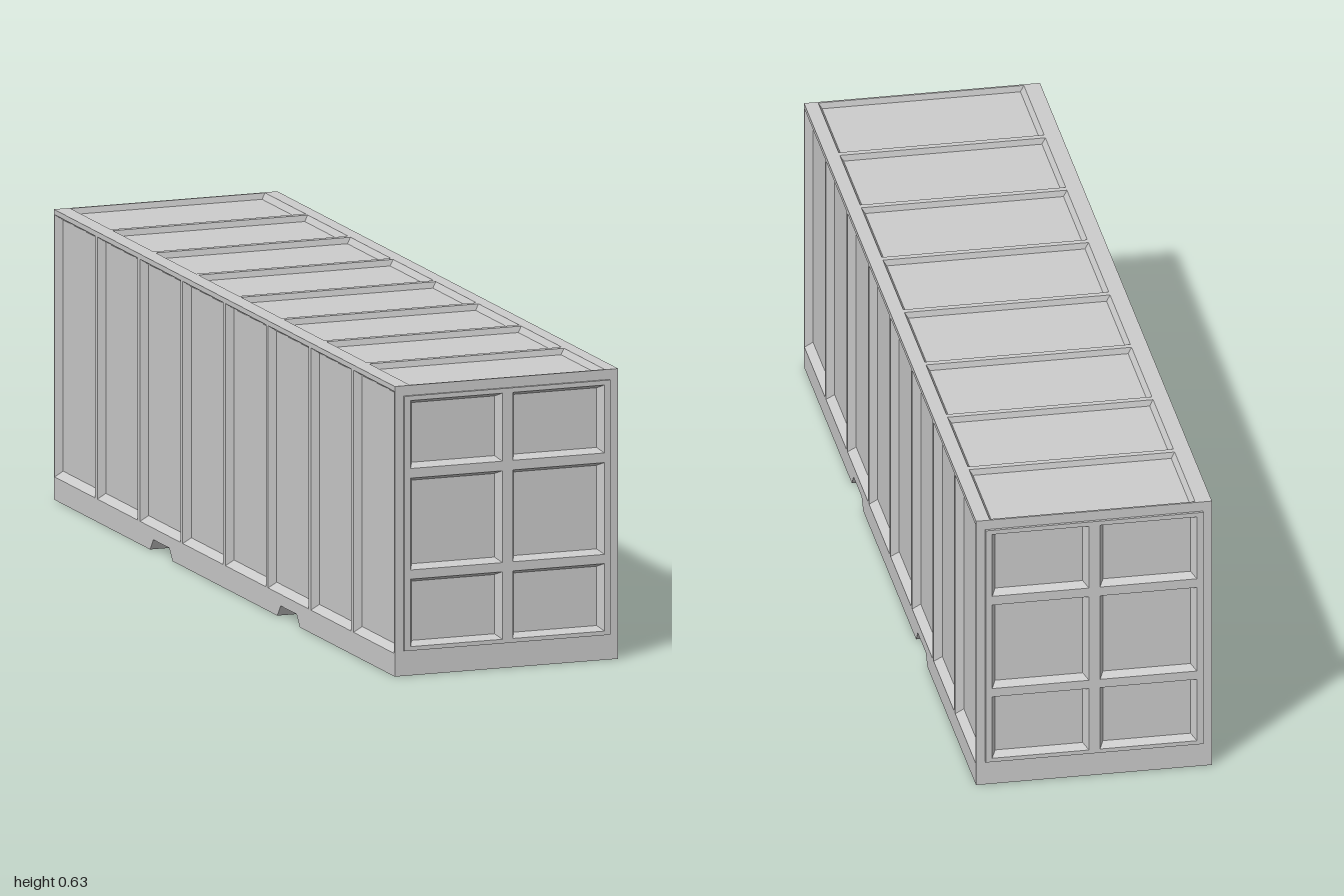
import * as THREE from 'three';
import { mergeGeometries } from 'three/addons/utils/BufferGeometryUtils.js';

const W = 0.256, H = 0.632, L = 0.994; // half width, height, half length of the shell
const BAYS = 8, PITCH = 0.249, BAY_W = 0.235;
const NOTCHES = [0.375, -0.367];       // z centres of the lifting channels
const NOTCH_BOTTOM = 0.066, NOTCH_TOP = 0.046, NOTCH_H = 0.025;

const material = new THREE.MeshStandardMaterial({ color: 0xcccccc, flatShading: true, side: THREE.DoubleSide });

function quads(list) {
  const pos = [];
  for (const [a, b, c, d] of list) pos.push(...a, ...b, ...c, ...a, ...c, ...d);
  const g = new THREE.BufferGeometry();
  g.setAttribute('position', new THREE.Float32BufferAttribute(pos, 3));
  g.computeVertexNormals();
  return g;
}

// Rectangular recess sunk along -z with sloping sides and a flat floor
function tray([x0, y0, x1, y1], depth, bx, by) {
  const rim = [[x0, y0, 0], [x1, y0, 0], [x1, y1, 0], [x0, y1, 0]];
  const low = [[x0 + bx, y0 + by, -depth], [x1 - bx, y0 + by, -depth],
    [x1 - bx, y1 - by, -depth], [x0 + bx, y1 - by, -depth]];
  const faces = [low];
  for (let i = 0; i < 4; i++) {
    const j = (i + 1) % 4;
    faces.push([rim[i], rim[j], low[j], low[i]]);
  }
  return quads(faces);
}

const corners = ([x0, y0, x1, y1]) => [[x0, y0], [x1, y0], [x1, y1], [x0, y1]].map(p => new THREE.Vector2(...p));

// Flat sheet facing +z with rectangular openings
function sheet(outline, holes) {
  const shape = new THREE.Shape(outline);
  for (const r of holes) shape.holes.push(new THREE.Path(corners(r)));
  const g = new THREE.ShapeGeometry(shape).toNonIndexed();
  g.deleteAttribute('uv');
  return g;
}

function panelled(outline, rects, depth, bx, by) {
  return mergeGeometries([sheet(outline, rects), ...rects.map(r => tray(r, depth, bx, by))]);
}

function add(parent, name, geometry) {
  const m = new THREE.Mesh(geometry, material);
  m.name = name;
  parent.add(m);
  return m;
}

// Bay rectangles along local x
function bays(y0, y1) {
  return Array.from({ length: BAYS }, (_, i) => {
    const c = (i - (BAYS - 1) / 2) * PITCH;
    return [c - BAY_W / 2, y0, c + BAY_W / 2, y1];
  });
}

export function createModel() {
  const model = new THREE.Group();
  model.name = 'cargoContainer';

  // Long side walls with notched bottom edges
  for (const side of [1, -1]) {
    const outline = [new THREE.Vector2(-L, 0)];
    const centres = NOTCHES.map(z => -side * z).sort((a, b) => a - b);
    for (const c of centres) {
      for (const [dx, y] of [[-NOTCH_BOTTOM, 0], [-NOTCH_TOP, NOTCH_H], [NOTCH_TOP, NOTCH_H], [NOTCH_BOTTOM, 0]]) {
        outline.push(new THREE.Vector2(c + dx, y));
      }
    }
    outline.push(new THREE.Vector2(L, 0), new THREE.Vector2(L, H), new THREE.Vector2(-L, H));
    const wall = add(model, side > 0 ? 'leftWall' : 'rightWall',
      panelled(outline, bays(0.05, 0.621), 0.018, 0.004, 0.012));
    wall.rotation.y = side * Math.PI / 2;
    wall.position.x = side * W;
  }

  // Roof with shallow bays between the ribs
  const roofGeo = panelled(corners([-L, -W, L, W]), bays(-0.226, 0.22), 0.013, 0.003, 0.008);
  roofGeo.rotateZ(Math.PI / 2).rotateX(-Math.PI / 2);
  add(model, 'roof', roofGeo).position.y = H;

  // End walls, each with a slightly raised six-panel door
  const doorRect = [-0.236, 0.055, 0.236, 0.61];
  const doorPanels = [];
  for (const [y0, y1] of [[0.064, 0.211], [0.231, 0.431], [0.452, 0.6]]) {
    doorPanels.push([-0.222, y0, -0.012, y1], [0.012, y0, 0.222, y1]);
  }
  for (const end of [1, -1]) {
    const group = new THREE.Group();
    group.name = end > 0 ? 'frontEnd' : 'backEnd';
    add(group, 'endFrame', sheet(corners([-W, 0, W, H]), [doorRect])).position.z = L;
    add(group, 'doorFace', panelled(corners(doorRect), doorPanels, 0.02, 0.01, 0.009)).position.z = 1;
    add(group, 'doorBack', tray(doorRect, 0.035, 0, 0)).position.z = 1;
    if (end < 0) group.rotation.y = Math.PI;
    model.add(group);
  }

  // Lifting channels crossing the open underside
  for (const z of NOTCHES) {
    const profile = [[-NOTCH_BOTTOM, 0], [-NOTCH_TOP, NOTCH_H], [NOTCH_TOP, NOTCH_H], [NOTCH_BOTTOM, 0]];
    const faces = [];
    for (let i = 0; i < 3; i++) {
      const [za, ya] = profile[i], [zb, yb] = profile[i + 1];
      faces.push([[-W, ya, za], [W, ya, za], [W, yb, zb], [-W, yb, zb]].reverse());
    }
    add(model, 'liftingChannel', quads(faces)).position.z = z;
  }
  return model;
}
